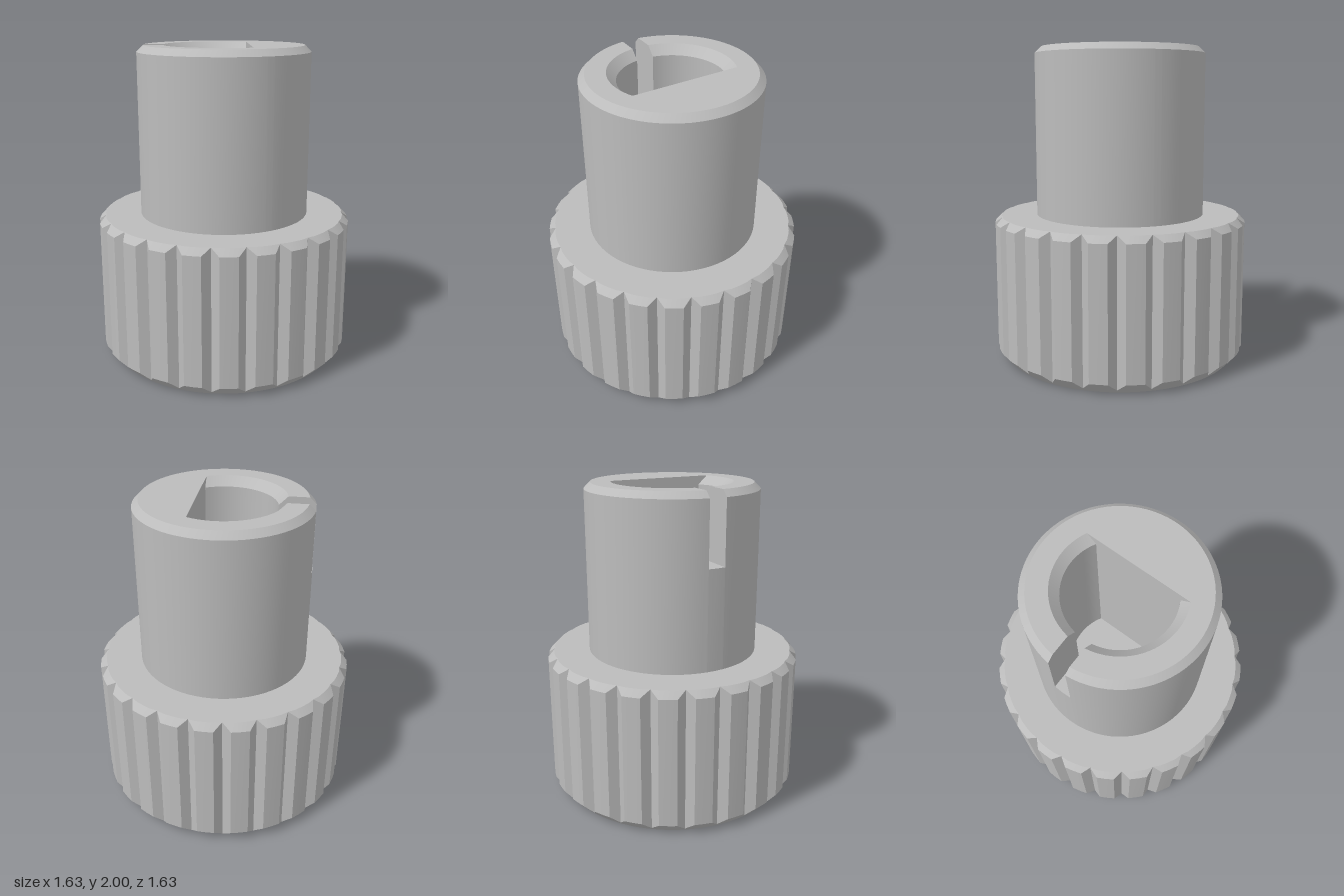
import * as THREE from 'three';
import { toCreasedNormals } from 'three/addons/utils/BufferGeometryUtils.js';

const rad = THREE.MathUtils.degToRad;
const polar = (r, deg, y) => [r * Math.cos(rad(deg)), y, -r * Math.sin(rad(deg))];

// Skin rows of points; the front face is (along row) x (towards next row).
function skin(rows, closed = false) {
  const out = [];
  for (let j = 0; j < rows.length - 1; j++) {
    const n = rows[j].length;
    for (let i = 0; i < (closed ? n : n - 1); i++) {
      const k = (i + 1) % n;
      const a = rows[j][i], b = rows[j][k], c = rows[j + 1][k], d = rows[j + 1][i];
      for (const tri of [[a, b, c], [a, c, d]]) {
        const [p, q, r] = tri.map(v => new THREE.Vector3(...v));
        if (q.sub(p).cross(r.sub(p)).length() > 1e-8) out.push(...tri.flat());
      }
    }
  }
  const g = new THREE.BufferGeometry();
  g.setAttribute('position', new THREE.Float32BufferAttribute(out, 3));
  return toCreasedNormals(g, rad(22));
}

// Flat convex polygon as a fan
function fan(points) {
  return skin([points, points.map(() => points[0])]);
}

export function createModel() {
  const group = new THREE.Group();
  const gray = new THREE.MeshStandardMaterial({ color: 0xbcbcbc });
  gray.name = 'light gray';
  const add = (name, geometry) => {
    const mesh = new THREE.Mesh(geometry, gray);
    mesh.name = name;
    group.add(mesh);
  };

  // Fluted grip: 24 teeth with V grooves, chamfered at both ends
  const R = 0.815, ROOT = 0.769, BOTTOM = 0.75, TOP = 0.775, BASE = 0.93;
  const outline = [];
  for (let t = 0; t < 24; t++) {
    for (const [offset, r] of [[-3.9, R], [0, R], [3.9, R], [7.5, ROOT]]) {
      outline.push({ r, a: t * 15 + offset });
    }
  }
  const ring = (radius, height) => outline.map(p => polar(radius(p), p.a, height(p)));
  add('gripTeeth', skin([
    ring(() => BOTTOM, () => 0),
    ring(p => p.r, p => 0.07 * (p.r - BOTTOM) / (R - BOTTOM)),
    ring(p => p.r, p => Math.min(BASE, 0.89 + R - p.r)),
    ring(p => Math.min(TOP, p.r), () => BASE),
    ring(() => 0.54, () => BASE),
  ], true));

  // Underside with a pointer groove
  const H = 0.055, X0 = 0.165, X1 = 0.7, DEPTH = 0.06;
  const disc = new THREE.Shape(outline.map(p =>
    new THREE.Vector2(BOTTOM * Math.cos(rad(p.a)), BOTTOM * Math.sin(rad(p.a)))));
  const corners = [[X0, -H], [X0, H], [X1, H], [X1, -H]];
  disc.holes.push(new THREE.Path(corners.map(c => new THREE.Vector2(...c))));
  add('underside', new THREE.ShapeGeometry(disc).rotateX(Math.PI / 2));
  const rect = y => corners.map(([x, z]) => [x, y, z]);
  add('pointerGrooveWalls', skin([rect(DEPTH), rect(0)], true));
  add('pointerGrooveFloor', fan(rect(DEPTH).reverse()));

  // Shaft: a section swept around the D-shaped bore, open at the slot
  const SHAFT = 0.545, RIM = 0.505, BORE = 0.325, FLARE = 0.38, FLAT = 0.16;
  const FLOOR = 0.9, SLOT = 1.56, LIP = 2 - (FLARE - BORE);
  const section = deg => {
    const c = Math.cos(rad(deg));
    const limit = c > 0.01 ? FLAT / c : 9;
    const top = Math.min(FLARE, limit), bore = Math.min(BORE, limit);
    return [
      [SHAFT, BASE], [SHAFT, 1.96], [RIM, 2], [top, 2],
      [top, LIP + Math.max(0, top - BORE)], [bore, LIP], [bore, FLOOR], [0, FLOOR],
    ];
  };
  // Point on the slot side, at constant z
  const slotPoint = ([r, y], z) => [-Math.sqrt(Math.max(0, r * r - z * z)), y, r ? z : 0];

  const angles = [];
  for (let a = -170; a <= 170; a += 5) angles.push(a);
  for (const r of [BORE, FLARE]) {
    const a = THREE.MathUtils.radToDeg(Math.acos(FLAT / r));
    angles.push(a, -a);
  }
  angles.sort((a, b) => a - b);
  const edge = section(180);
  const rows = edge.map((e, j) => [
    slotPoint(e, H),
    ...angles.map(a => polar(section(a)[j][0], a, section(a)[j][1])),
    slotPoint(e, -H),
  ]);
  add('shaft', skin(rows));

  // Shaft wall below the slot
  const below = [[SHAFT, BASE], [SHAFT, SLOT], [BORE, SLOT], [BORE, FLOOR], [0, FLOOR]];
  add('slotBottom', skin(below.map(p => [-H, 0, H].map(z => slotPoint(p, z)))));

  // Slot side walls
  const side = [[SHAFT, SLOT], [SHAFT, 1.96], [RIM, 2], [FLARE, 2], [BORE, LIP], [BORE, SLOT]];
  add('slotSideFront', fan(side.map(p => slotPoint(p, H))));
  add('slotSideBack', fan(side.map(p => slotPoint(p, -H)).reverse()));

  return group;
}
